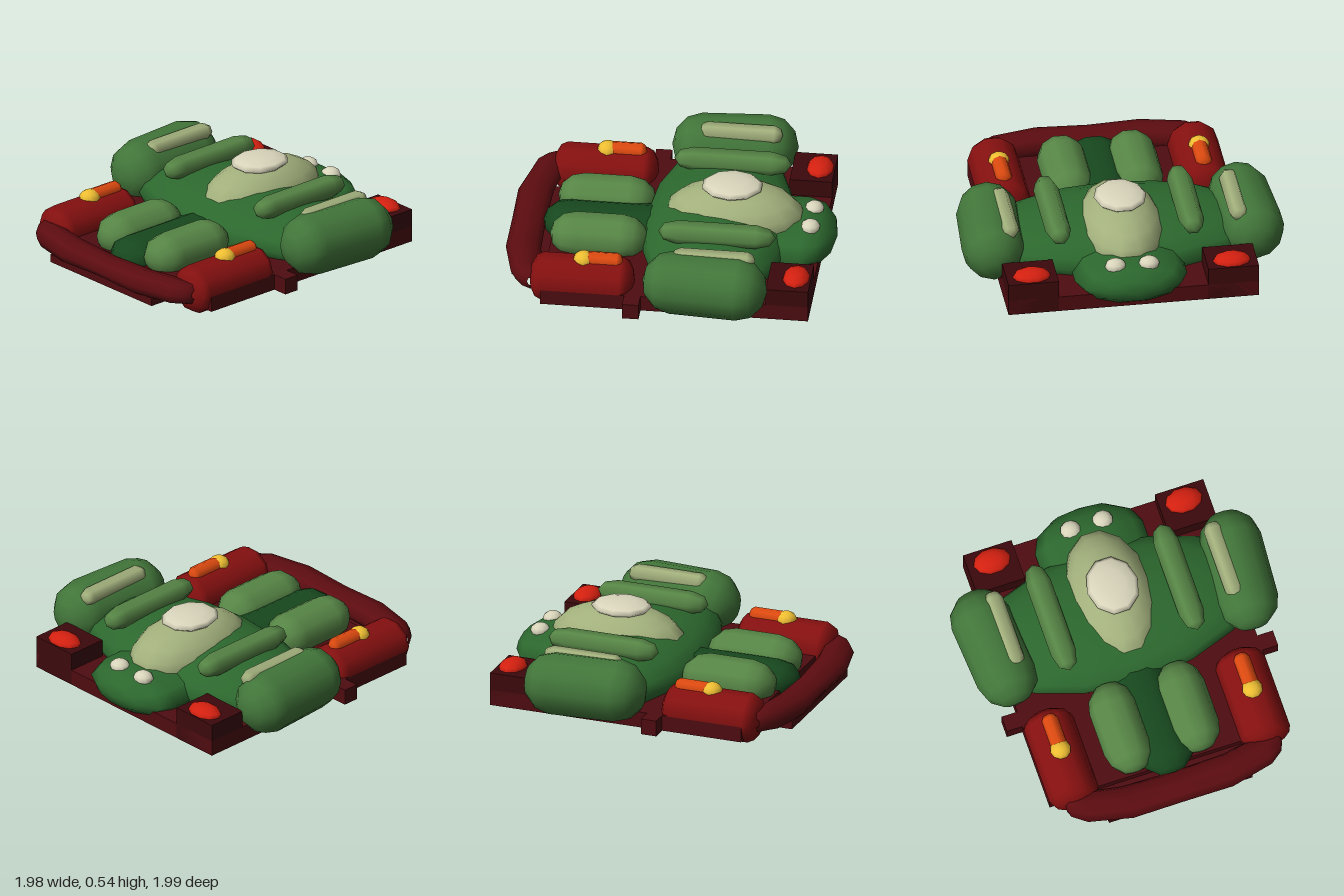
import * as THREE from 'three';

const C = {
  slab: 0x4e0c10, block: 0x3c090c, bumper: 0x5c0c10, fender: 0x861010,
  body: 0x2c682e, pod: 0x42763a, ridge: 0x578646, pale: 0xa2b07c, cream: 0xdad6bc,
  nose: 0x17481e, red: 0xd42010, orange: 0xde4a10, yellow: 0xeebe32,
};

export function createModel() {
  const model = new THREE.Group();
  model.name = 'vehicle';
  const mats = {};
  const mat = (key) => (mats[key] ??= new THREE.MeshStandardMaterial({ color: C[key] }));

  function add(name, geo, color, x, y, z, yaw = 0) {
    const mesh = new THREE.Mesh(geo, mat(color));
    mesh.name = name;
    mesh.position.set(x, y, z);
    mesh.rotation.y = yaw;
    model.add(mesh);
    return mesh;
  }
  // Same part on both sides; s = +1 is the left
  function pair(name, geo, color, x, y, z, yaw = 0) {
    add(name + 'Left', geo, color, x, y, z, yaw);
    add(name + 'Right', geo, color, -x, y, z, -yaw);
  }
  const box = (w, h, d) => new THREE.BoxGeometry(w, h, d);
  const ellipsoid = (rx, ry, rz, w = 12, h = 8) => new THREE.SphereGeometry(1, w, h).scale(rx, ry, rz);
  // Capsule lying along z: half-width, half-height, overall length, end length
  function capsule(rx, ry, length, end, sides = 10, capSegs = 3) {
    const geo = new THREE.CapsuleGeometry(1, length / end - 2, capSegs, sides);
    return geo.rotateX(Math.PI / 2).scale(rx, ry, end);
  }
  // Loft of elliptical rings along x: stations are [x, y, z, halfHeight, halfDepth]
  function loft(stations, sides = 8) {
    const pos = [], index = [];
    stations.forEach(([x, y, z, ry, rz], i) => {
      for (let j = 0; j < sides; j++) {
        const a = (j / sides) * Math.PI * 2;
        pos.push(x, y + ry * Math.sin(a), z + rz * Math.cos(a));
        if (i === 0) continue;
        const k = (j + 1) % sides, p = (i - 1) * sides, q = i * sides;
        index.push(p + j, q + j, p + k, q + j, q + k, p + k);
      }
    });
    const geo = new THREE.BufferGeometry();
    geo.setAttribute('position', new THREE.Float32BufferAttribute(pos, 3));
    geo.setIndex(index);
    geo.computeVertexNormals();
    return geo;
  }

  // Chassis
  add('chassisSlab', box(1.54, 0.1, 1.64), 'slab', 0, 0.11, -0.09);
  add('chassisNose', box(0.92, 0.05, 0.26), 'slab', 0, 0.085, 0.81);
  add('crossBar', box(1.74, 0.1, 0.1), 'slab', 0, 0.11, 0.165);
  pair('rearBlock', box(0.31, 0.21, 0.26), 'block', 0.615, 0.165, -0.78);
  pair('tailLight', ellipsoid(0.12, 0.055, 0.085, 10, 6), 'red', 0.615, 0.265, -0.82);

  // Wrap-around front bumper, slightly waisted in the middle
  const half = [
    [0.69, 0.165, 0.79, 0.03, 0.03], [0.67, 0.165, 0.8, 0.065, 0.07],
    [0.59, 0.165, 0.83, 0.078, 0.1], [0.32, 0.165, 0.885, 0.076, 0.108],
  ];
  const flip = half.map(([x, ...rest]) => [-x, ...rest]);
  add('frontBumper', loft([...flip, [0, 0.165, 0.888, 0.06, 0.103], ...half.reverse()]), 'bumper', 0, 0, 0);

  // Front fenders with lamps
  pair('fender', capsule(0.157, 0.152, 0.64, 0.08, 10), 'fender', 0.615, 0.163, 0.49);
  pair('lampBar', capsule(0.052, 0.055, 0.24, 0.035, 8, 2), 'orange', 0.615, 0.302, 0.36);
  pair('headlamp', ellipsoid(0.065, 0.055, 0.065, 10, 7), 'yellow', 0.615, 0.302, 0.48);

  // Central hull
  add('hull', ellipsoid(0.9, 0.205, 0.455, 16, 10), 'body', 0, 0.205, -0.27);
  add('dome', ellipsoid(0.265, 0.215, 0.43, 14, 10), 'pale', 0, 0.295, -0.37);
  add('domeCap', ellipsoid(0.162, 0.04, 0.19, 10, 6), 'cream', 0, 0.503, -0.355);

  // Rear pod with two studs
  add('rearPod', capsule(0.345, 0.138, 0.62, 0.2, 10), 'body', 0, 0.193, -0.69);
  pair('rearStud', ellipsoid(0.065, 0.045, 0.06, 10, 6), 'cream', 0.103, 0.31, -0.845);

  // Side pods with pale stripes, and ridges along the hull
  pair('sidePod', capsule(0.192, 0.193, 0.77, 0.18, 12), 'pod', 0.785, 0.28, -0.28, -0.07);
  pair('podStripe', capsule(0.06, 0.055, 0.51, 0.05, 6, 2), 'pale', 0.705, 0.425, -0.325);
  pair('hullRidge', capsule(0.078, 0.07, 0.72, 0.12, 6, 2), 'ridge', 0.41, 0.41, -0.31);

  // Front snout: dark centre between two lobes
  add('snout', capsule(0.175, 0.115, 0.95, 0.16, 10), 'nose', 0, 0.175, 0.325);
  pair('snoutLobe', capsule(0.152, 0.14, 0.6, 0.16, 10), 'ridge', 0.215, 0.22, 0.435);

  return model;
}
